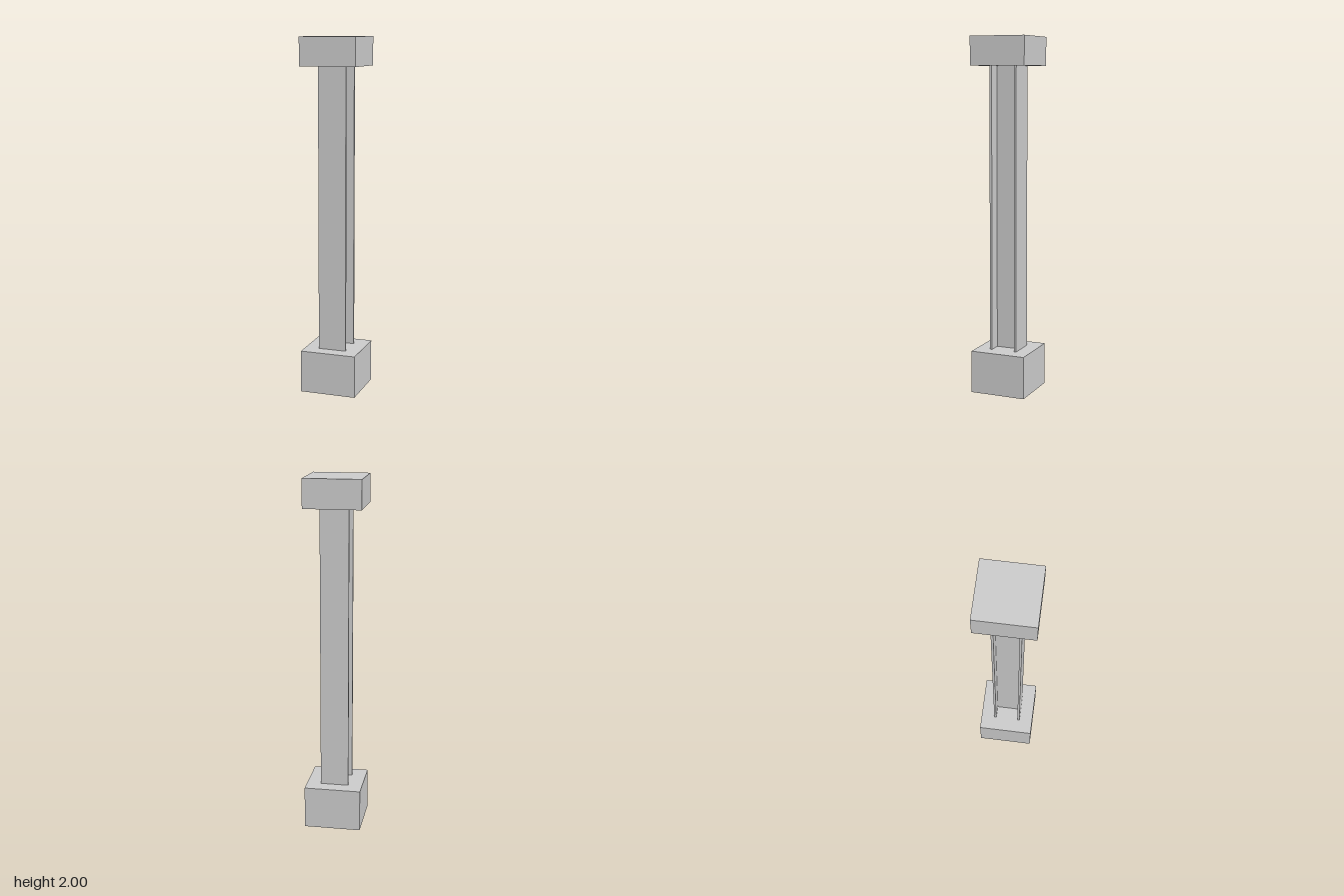
import * as THREE from 'three';

const material = new THREE.MeshStandardMaterial({ color: 0xcccccc, flatShading: true });

const BLOCK = 0.32;     // side of the square end blocks
const BASE_TOP = 0.24;
const CAP_BOTTOM = 1.84;
const BEAM = 0.16;      // beam width and depth
const FLANGE = 0.013;
const WEB = 0.018;

// Square end block between two heights
function block(name, y0, y1) {
  const mesh = new THREE.Mesh(new THREE.BoxGeometry(BLOCK, y1 - y0, BLOCK), material);
  mesh.name = name;
  mesh.position.y = (y0 + y1) / 2;
  return mesh;
}

// Upright I-section: flanges face front and back, web runs between them
function beam() {
  const h = BEAM / 2, w = WEB / 2, f = h - FLANGE;
  const outline = [
    [-h, -h], [h, -h], [h, -f], [w, -f], [w, f], [h, f],
    [h, h], [-h, h], [-h, f], [-w, f], [-w, -f], [-h, -f],
  ].map(([x, y]) => new THREE.Vector2(x, y));
  const geometry = new THREE.ExtrudeGeometry(new THREE.Shape(outline), {
    depth: CAP_BOTTOM - BASE_TOP,
    bevelEnabled: false,
  });
  geometry.rotateX(-Math.PI / 2);
  const mesh = new THREE.Mesh(geometry, material);
  mesh.name = 'beam';
  mesh.position.y = BASE_TOP;
  return mesh;
}

export function createModel() {
  const model = new THREE.Group();
  model.name = 'column';
  model.add(block('base', 0, BASE_TOP), beam(), block('cap', CAP_BOTTOM, 2));
  return model;
}
